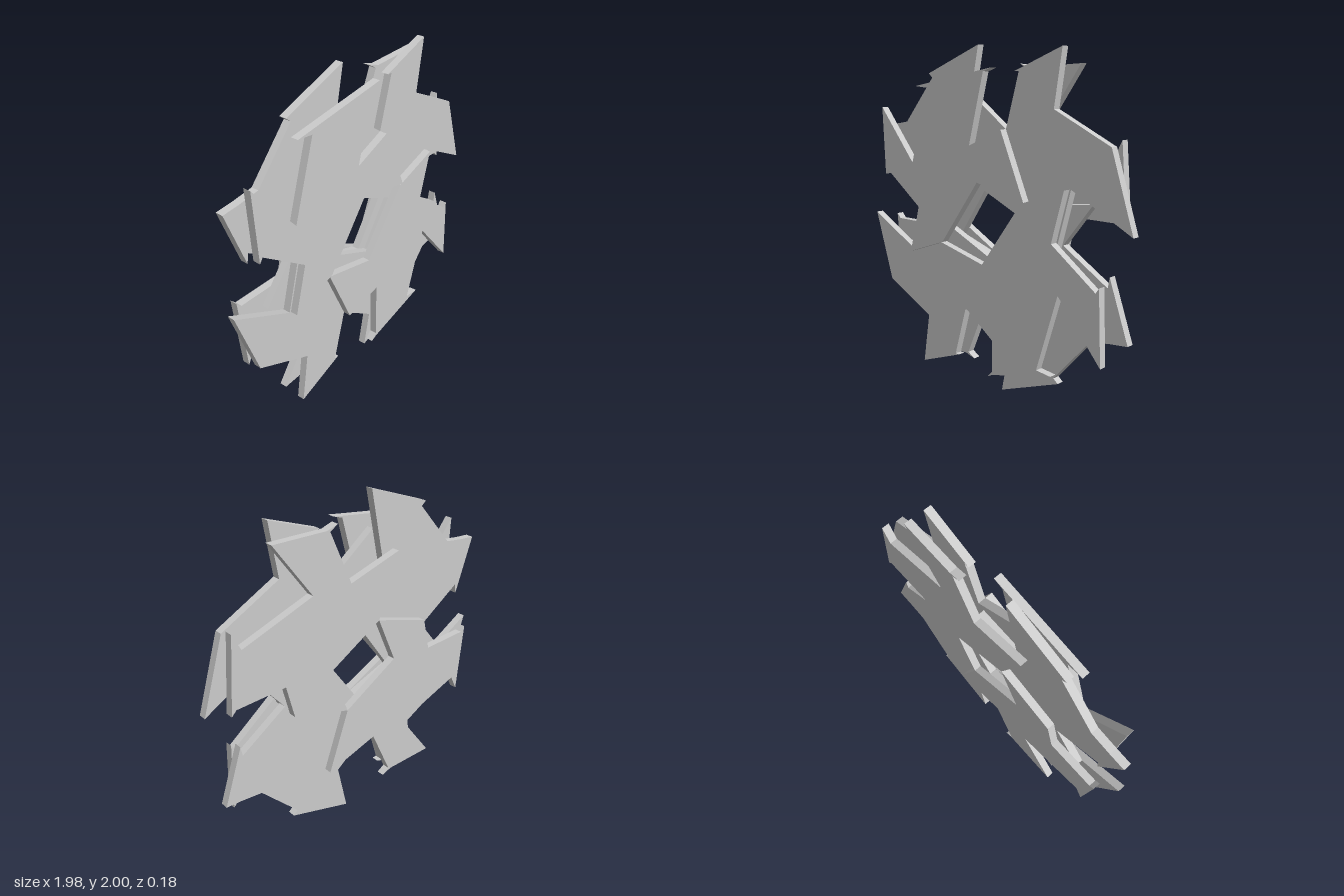
import * as THREE from 'three';

const T = 0.0455; // thickness of one plate
const material = new THREE.MeshStandardMaterial({ color: 0xcccccc, flatShading: true });

// half-turn of an outline about the rotor axis (0, 1)
const halfTurn = (pts) => pts.map(([x, y]) => [-x, 2 - y]);

function blade(name, pts, z) {
  const shape = new THREE.Shape(pts.map(([x, y]) => new THREE.Vector2(x, y)));
  const geometry = new THREE.ExtrudeGeometry(shape, { depth: T, bevelEnabled: false });
  const mesh = new THREE.Mesh(geometry, material);
  mesh.name = name;
  mesh.position.z = z;
  return mesh;
}

export function createModel() {
  const group = new THREE.Group();
  group.name = 'layeredRotor';

  // front plate: inner end, hole corner, outer hooks, trailing arm
  const frontBody = [
    [0.16, 1.54], [0.33, 1.15], [-0.02, 1.235], [-0.31, 0.85], [-0.6, 0.75], [-0.52, 1.04],
    [-0.81, 1.25], [-0.83, 1.22], [-0.85, 1.64], [-0.57, 1.31], [-0.43, 1.76], [-0.53, 1.77],
  ];
  const frontUpper = [...frontBody, [0.03, 1.86], [0.09, 1.87], [0.03, 1.85], [-0.08, 1.44]];
  const frontLower = [...halfTurn(frontBody), [0.1, 0.12], [0.06, 0.1], [0.1, 0.14], [0.095, 0.515]];

  // second plate, spanning the other diagonal
  const second = [
    [0.16, 1.54], [-0.15, 1.76], [-0.08, 1.22], [0.28, 1.06], [0.09, 0.78], [0.52, 0.92], [0.61, 1.25],
    [0.99, 1.05], [0.85, 1.48], [0.49, 1.655], [0.54, 1.97], [0.22, 1.85], [0.25, 1.85],
  ];

  // third plate, a quarter turn from the second
  const third = [
    [0.12, 1.52], [0.28, 1.1], [-0.03, 1.2], [-0.25, 0.88], [-0.72, 0.82], [-0.53, 1.06],
    [-0.82, 1.24], [-0.83, 1.18], [-0.95, 1.52], [-0.85, 1.53], [-0.72, 1.55], [-0.48, 1.82],
    [-0.51, 1.845], [-0.095, 2.0], [-0.2, 1.5],
  ];

  // back plate
  const back = [
    [-0.26, 1.63], [-0.12, 1.25], [0.25, 1.05], [0.12, 0.75], [0.5, 0.88], [0.55, 1.09],
    [0.86, 1.09], [0.89, 1.06], [0.85, 1.51], [0.8, 1.41], [0.35, 1.55],
    [0.59, 1.885], [0.25, 1.87], [0.18, 1.89], [0.23, 1.86], [0.09, 1.54],
  ];

  const layers = [
    ['frontBlade', frontUpper, frontLower],
    ['secondBlade', second, halfTurn(second)],
    ['thirdBlade', third, halfTurn(third)],
    ['backBlade', back, halfTurn(back)],
  ];
  layers.forEach(([name, upper, lower], i) => {
    const z = (1 - i) * T;
    group.add(blade(name + 'Upper', upper, z), blade(name + 'Lower', lower, z));
  });
  return group;
}
